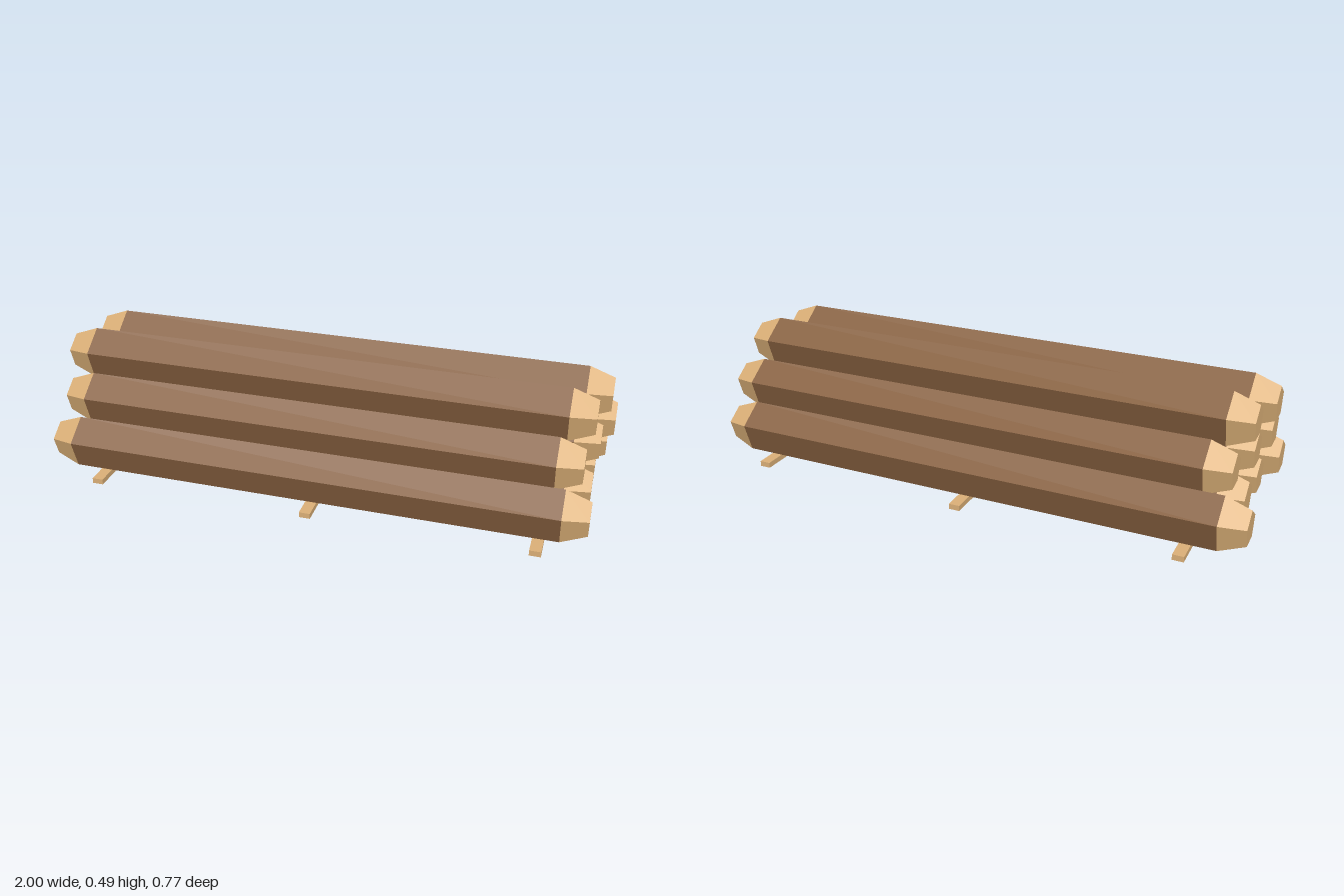
import * as THREE from 'three';

const bark = new THREE.MeshStandardMaterial({ color: 0x855f3e, flatShading: true });
bark.name = 'bark brown';
const cutWood = new THREE.MeshStandardMaterial({ color: 0xd9ae76, flatShading: true });
cutWood.name = 'cut wood tan';

const R = 0.095, TIP_R = 0.062, TAPER = 0.089;

// Pentagonal prism lying along x with one corner pointing up; rEnd is the +x end
function prism(rEnd, rStart, length, open) {
  return new THREE.CylinderGeometry(rEnd, rStart, length, 5, 1, open)
    .rotateY(-Math.PI / 2)
    .rotateZ(-Math.PI / 2);
}

function addMesh(parent, name, geometry, material, x) {
  const mesh = new THREE.Mesh(geometry, material);
  mesh.name = name;
  mesh.position.x = x;
  parent.add(mesh);
  return mesh;
}

// One log: bark body with a tapered bare tip at each end
function makeLog(x0, x1, y, z) {
  const log = new THREE.Group();
  log.name = 'log';
  log.position.set(0, y, z);
  const a = x0 + TAPER, b = x1 - TAPER;
  addMesh(log, 'logBark', prism(R, R, b - a, true), bark, (a + b) / 2);
  addMesh(log, 'logTipLeft', prism(TIP_R, R, TAPER, false), cutWood, x1 - TAPER / 2);
  addMesh(log, 'logTipRight', prism(R, TIP_R, TAPER, false), cutWood, x0 + TAPER / 2);
  return log;
}

export function createModel() {
  const group = new THREE.Group();
  group.name = 'logPile';

  // Stacked rows: [end at -x, end at +x] for each log, from back to front
  const rows = [
    [[-1, 0.98], [-0.95, 0.95], [-0.95, 0.95], [-0.99, 0.96]],
    [[-0.92, 1], [-0.95, 0.96], [-0.97, 0.92]],
    [[-0.96, 0.98], [-0.99, 0.94]],
  ];
  rows.forEach((row, level) => {
    row.forEach(([x0, x1], i) => {
      const z = (i - (row.length - 1) / 2) * 0.1875;
      group.add(makeLog(x0, x1, 0.116 + level * 0.14, z));
    });
  });

  // Thin boards under the pile
  for (const x of [-0.8, 0, 0.8]) {
    addMesh(group, 'baseBoard', new THREE.BoxGeometry(0.04, 0.02, 0.768), cutWood, x).position.y = 0.01;
  }
  return group;
}
